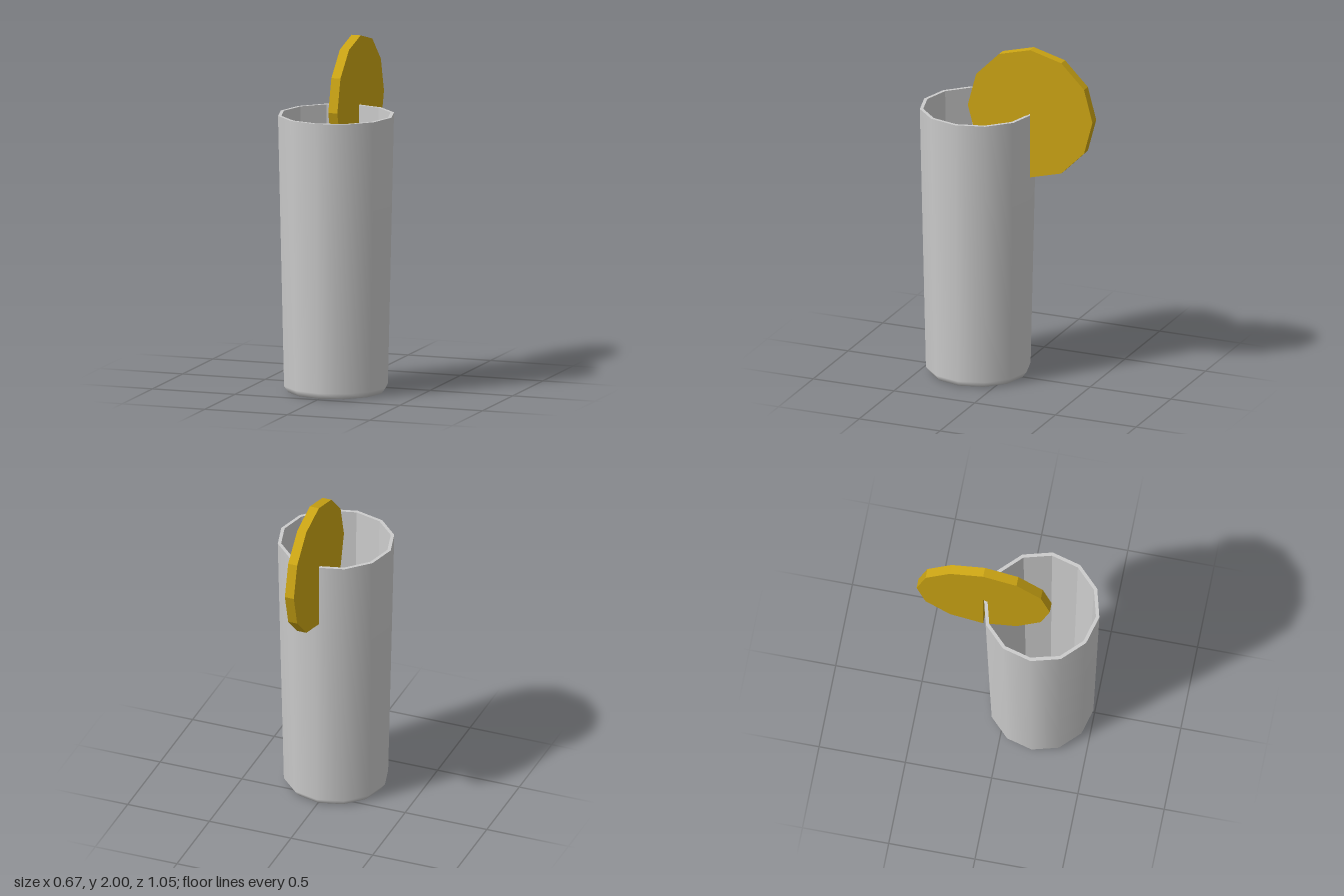
import * as THREE from 'three';

const SIDES = 12;

function lathe(name, profile, material) {
  const points = profile.map(([r, y]) => new THREE.Vector2(r, y));
  const mesh = new THREE.Mesh(new THREE.LatheGeometry(points, SIDES), material);
  mesh.name = name;
  return mesh;
}

export function createModel() {
  const model = new THREE.Group();
  model.name = 'drinkWithSlice';

  // Tapered tumbler: smooth outside, faceted rim and inside
  const glass = new THREE.Group();
  glass.name = 'glass';
  glass.position.z = 0.193;
  glass.add(
    lathe('glassOutside', [[0, 0], [0.275, 0], [0.3, 0.035], [0.335, 1.6]],
      new THREE.MeshStandardMaterial({ color: 0xcccccc })),
    lathe('glassInside', [[0.335, 1.6], [0.315, 1.6], [0.277, 0.03], [0, 0.03]],
      new THREE.MeshStandardMaterial({ color: 0xcccccc, flatShading: true })),
  );
  model.add(glass);

  // Twelve-sided fruit slice, drawn in the z-y plane around its centre
  const radius = 0.386;
  const shape = new THREE.Shape();
  shape.moveTo(0, 0);
  for (let i = 0; i < SIDES; i++) {
    const a = -Math.PI / 2 - (i * Math.PI * 2) / SIDES;
    shape.lineTo(radius * Math.cos(a), radius * Math.sin(a));
  }
  // Narrow slot that lets the slice sit over the rim
  shape.lineTo(0.03, -radius + 0.008);
  shape.lineTo(0.024, -0.016);
  shape.closePath();

  const thickness = 0.055;
  const geometry = new THREE.ExtrudeGeometry(shape, { depth: thickness, bevelEnabled: false });
  geometry.translate(0, 0, -thickness / 2);
  geometry.rotateY(-Math.PI / 2);
  const slice = new THREE.Mesh(geometry,
    new THREE.MeshStandardMaterial({ color: 0xcca514, flatShading: true }));
  slice.name = 'fruitSlice';
  slice.position.set(0, 1.614, -0.14);
  model.add(slice);

  return model;
}
